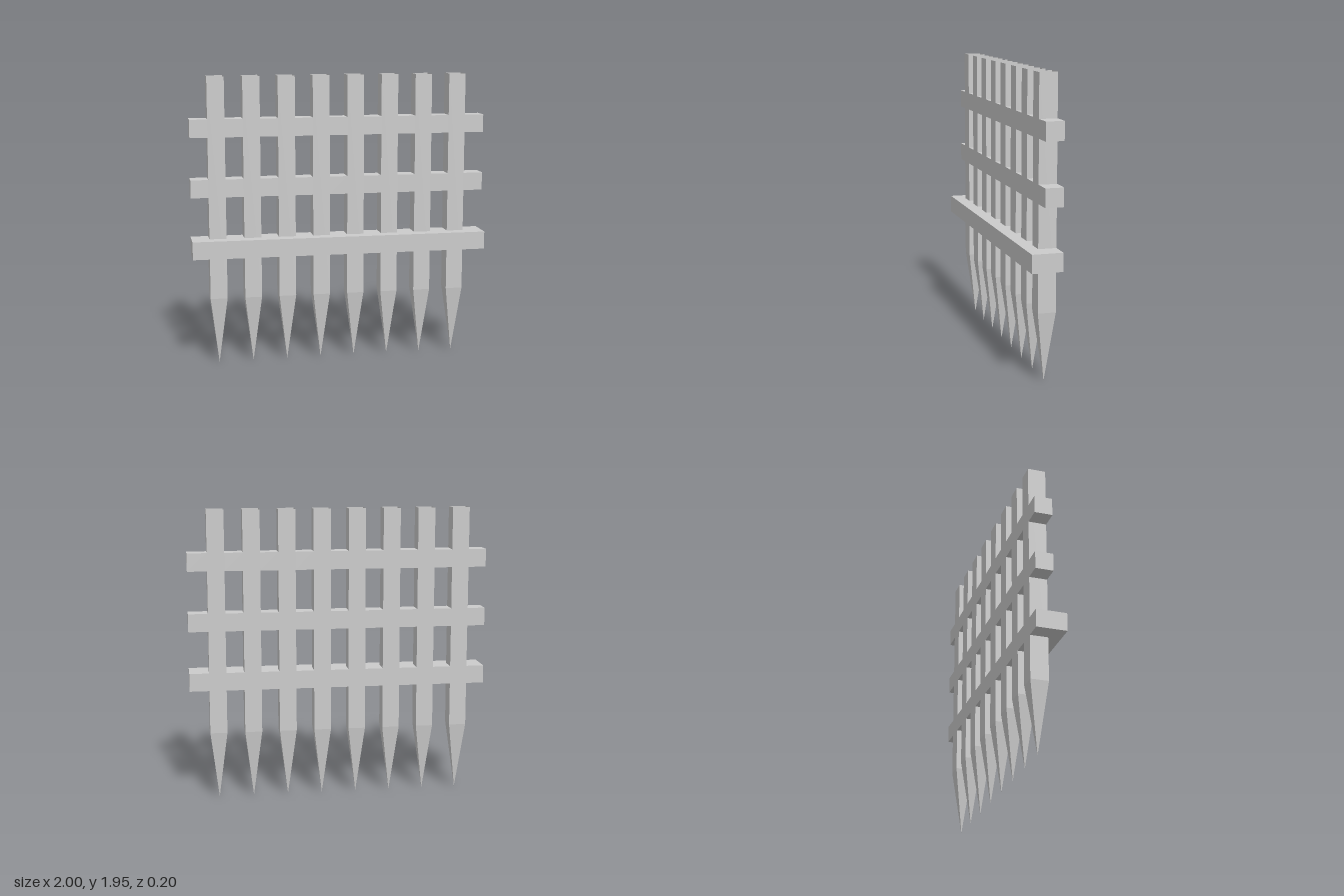
import * as THREE from 'three';

const BACK = -0.10, FRONT = 0.018, BEAM_FRONT = 0.10; // z planes
const DEPTH = FRONT - BACK, MID = (FRONT + BACK) / 2;
const POST_W = 0.114, FIRST = -0.825, STEP = 0.2339, COUNT = 8;
const POST_TOP = 1.95, TAPER = 0.46, RAIL_H = 0.12;

// Box without the listed faces (0 +x, 1 -x, 2 +y, 3 -y, 4 +z, 5 -z)
function openBox(w, h, d, skip) {
  const geometry = new THREE.BoxGeometry(w, h, d);
  const all = Array.from(geometry.index.array);
  geometry.setIndex(all.filter((_, i) => !skip.includes(Math.floor(i / 6))));
  geometry.clearGroups();
  return geometry;
}

export function createModel() {
  const group = new THREE.Group();
  const material = new THREE.MeshStandardMaterial({
    color: 0xcccccc, flatShading: true, side: THREE.DoubleSide,
  });

  const add = (parent, name, geometry, x, y, z) => {
    const mesh = new THREE.Mesh(geometry, material);
    mesh.name = name;
    mesh.position.set(x, y, z);
    parent.add(mesh);
  };

  // Hollow square posts, open at the top, tapering to a spike below
  const r = POST_W * Math.SQRT1_2;
  const profile = [[0, 0], [r, TAPER], [r, POST_TOP]].map(p => new THREE.Vector2(...p));
  const postGeometry = new THREE.LatheGeometry(profile, 4, Math.PI / 4);
  postGeometry.scale(1, 1, DEPTH / POST_W);
  const posts = new THREE.Group();
  posts.name = 'spikedPosts';
  const centres = Array.from({ length: COUNT }, (_, i) => FIRST + i * STEP);
  centres.forEach(x => add(posts, 'spikedPost', postGeometry, x, 0, MID));
  group.add(posts);

  // Rails run between the posts, flush with them, capped only at the outer ends
  const rails = [['lowerRail', 0.81], ['middleRail', 1.21], ['upperRail', 1.61]];
  for (const [name, y] of rails) {
    const rail = new THREE.Group();
    rail.name = name;
    for (let i = 0; i <= COUNT; i++) {
      const x0 = i === 0 ? -1 : centres[i - 1] + POST_W / 2;
      const x1 = i === COUNT ? 1 : centres[i] - POST_W / 2;
      const skip = [];
      if (i < COUNT) skip.push(0);
      if (i > 0) skip.push(1);
      if (name === 'lowerRail') skip.push(4);
      add(rail, 'railSection', openBox(x1 - x0, RAIL_H, DEPTH, skip), (x0 + x1) / 2, y, MID);
    }
    group.add(rail);
  }

  // Full-width beam across the front of the lower rail
  add(group, 'frontBeam', openBox(2, RAIL_H, BEAM_FRONT - FRONT, [5]),
    0, 0.81, (BEAM_FRONT + FRONT) / 2);

  return group;
}
